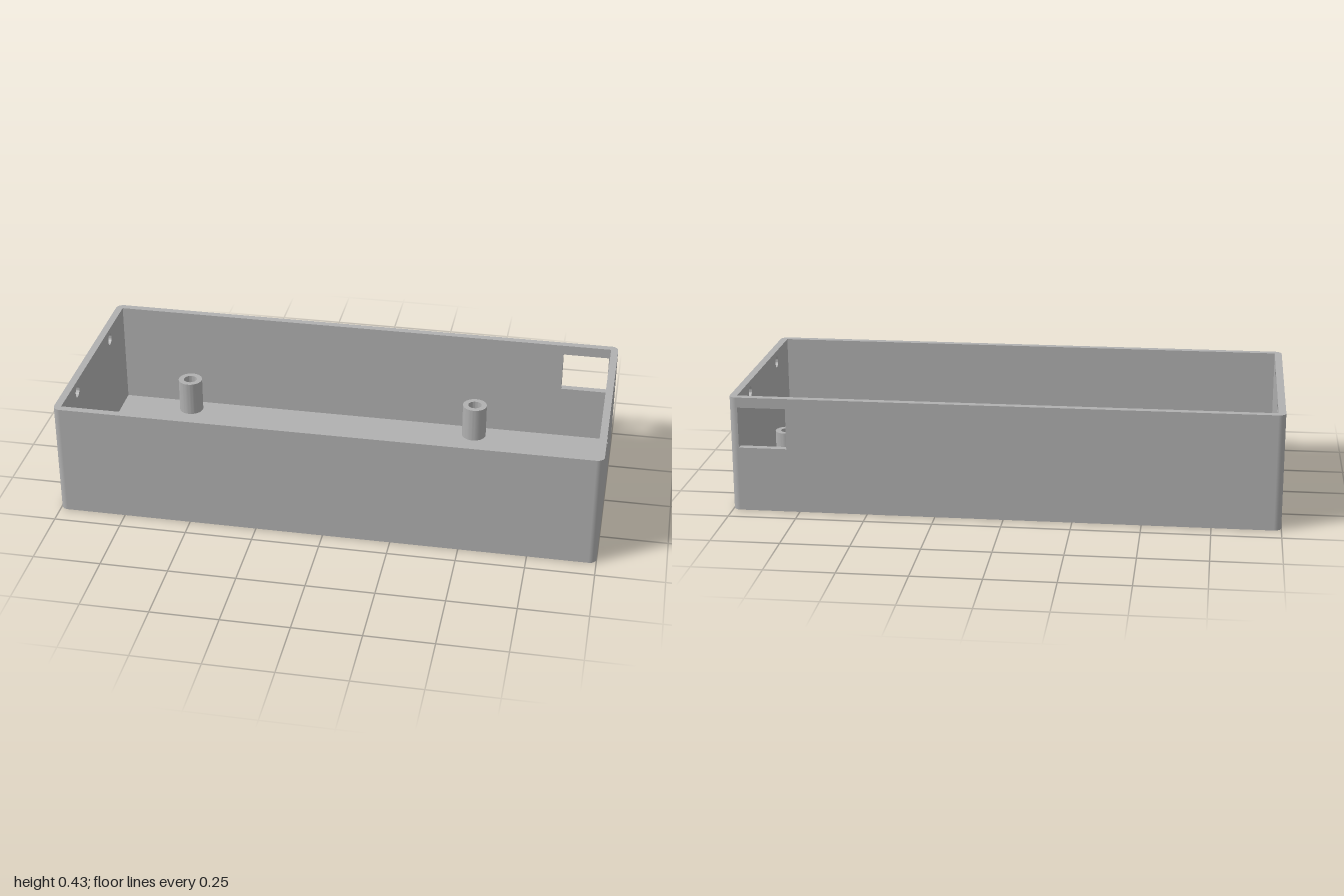
import * as THREE from 'three';
import { toCreasedNormals } from 'three/addons/utils/BufferGeometryUtils.js';

const W = 1, D = 0.427, H = 0.43;   // half width, half depth, height
const T = 0.027, FLOOR = 0.03;      // wall and floor thickness
const IX = W - T, IZ = D - T;       // inner half sizes

const rect = (C, x0, y0, x1, y1) => {
  const s = new C();
  s.moveTo(x0, y0).lineTo(x1, y0).lineTo(x1, y1).lineTo(x0, y1).closePath();
  return s;
};
const circle = (C, x, y, r) => {
  const s = new C();
  s.absarc(x, y, r, 0, Math.PI * 2, false);
  return s;
};
const extrude = (shape, depth, holes = []) => {
  shape.holes.push(...holes);
  const g = new THREE.ExtrudeGeometry(shape, { depth, bevelEnabled: false, curveSegments: 24 });
  return toCreasedNormals(g, 0.6);
};
// Extrude a plan drawn in (x, -z) upward from height y
const plan = (shape, y, height, holes) =>
  extrude(shape, height, holes).rotateX(-Math.PI / 2).translate(0, y, 0);

export function createModel() {
  const model = new THREE.Group();
  model.name = 'enclosure';
  const grey = new THREE.MeshStandardMaterial({ color: 0xb0b0b0 });
  grey.name = 'grey plastic';
  const add = (name, geometry) => {
    const mesh = new THREE.Mesh(geometry, grey);
    mesh.name = name;
    model.add(mesh);
  };
  const { Shape, Path } = THREE;

  // Floor with display window and round button hole
  add('floor', plan(rect(Shape, -IX, -IZ, IX, IZ), 0, FLOOR, [
    rect(Path, -0.598, -0.167, 0.369, 0.167),
    circle(Path, 0.745, -0.123, 0.048),
  ]));

  // Long walls, the back one with a socket cutout
  add('frontWall', extrude(rect(Shape, -IX, 0, IX, H), T).translate(0, 0, IZ));
  add('backWall', extrude(rect(Shape, -IX, 0, IX, H), T,
    [rect(Path, 0.792, 0.24, 0.968, 0.392)]).translate(0, 0, -D));

  // End walls, each with two screw holes near the rim
  for (const [name, x] of [['rightEndWall', -W], ['leftEndWall', IX]]) {
    add(name, extrude(rect(Shape, -IZ, 0, IZ, H), T,
      [-0.212, 0.212].map((z) => circle(Path, z, 0.387, 0.022)))
      .rotateY(Math.PI / 2).translate(x, 0, 0));
  }

  // Rounded vertical corners
  [[1, 1], [1, -1], [-1, -1], [-1, 1]].forEach(([sx, sz], i) => {
    add('corner', new THREE.CylinderGeometry(T, T, H, 8, 1, false, i * Math.PI / 2, Math.PI / 2)
      .translate(sx * IX, H / 2, sz * IZ));
  });

  // Hollow screw posts: four tall, two shorter beside the button
  const post = (name, x, z, top) => add(name, plan(circle(Shape, x, -z, 0.047), FLOOR, top - FLOOR,
    [circle(Path, x, -z, 0.026)]));
  for (const x of [-0.69, 0.463]) for (const z of [-0.342, 0.342]) post('tallPost', x, z, 0.165);
  for (const x of [0.57, 0.918]) post('shortPost', x, 0.123, 0.135);

  // U-shaped guide around the button hole
  const guide = new Shape();
  [[0.648, -0.05], [0.648, -0.214], [0.84, -0.214], [0.84, -0.05],
    [0.824, -0.05], [0.824, -0.198], [0.664, -0.198], [0.664, -0.05]]
    .forEach(([x, y], i) => (i ? guide.lineTo(x, y) : guide.moveTo(x, y)));
  add('buttonGuide', plan(guide, FLOOR, 0.04));

  return model;
}
